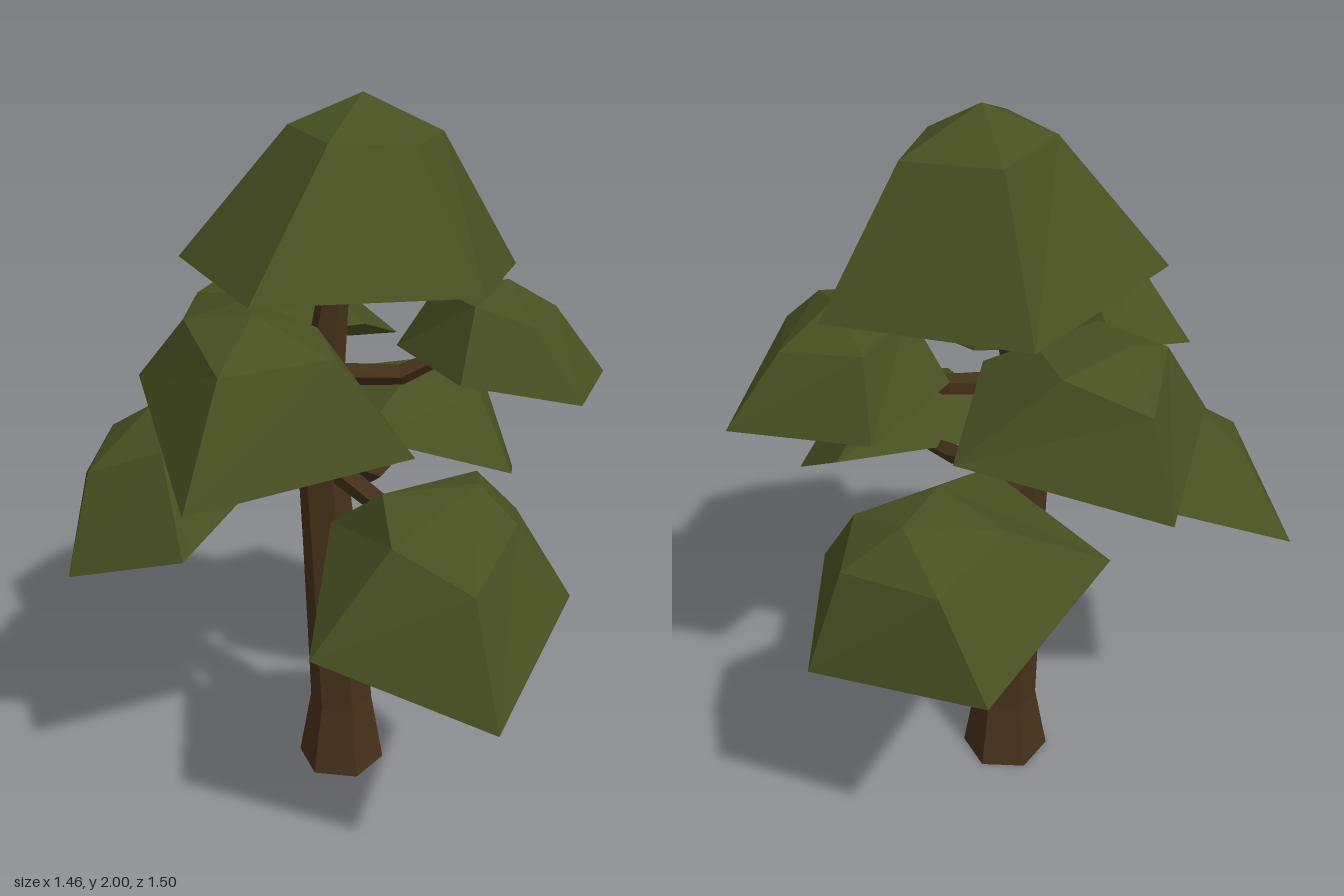
import * as THREE from 'three';

const leafMaterial = new THREE.MeshStandardMaterial({ color: 0x485021, flatShading: true });
const barkMaterial = new THREE.MeshStandardMaterial({ color: 0x45311a, flatShading: true });

// Flat-shaded mesh from a list of triangles (each three Vector3 corners)
function facetedMesh(name, triangles, material) {
  const geometry = new THREE.BufferGeometry().setFromPoints(triangles.flat());
  geometry.computeVertexNormals();
  const mesh = new THREE.Mesh(geometry, material);
  mesh.name = name;
  return mesh;
}

// Leaf clump: a thick cap with a five-cornered rim, smaller shoulder ring and apex,
// lined on the inside by the same rings drawn in towards the rim's centre.
// Rings run counter-clockwise seen from above.
function leafClump(name, rimPoints, shoulderPoints, apexPoint) {
  const toVectors = (list) => list.map((p) => new THREE.Vector3(...p));
  const rim = toVectors(rimPoints);
  const shoulder = toVectors(shoulderPoints);
  const apex = new THREE.Vector3(...apexPoint);
  const centre = new THREE.Vector3();
  rim.forEach((p) => centre.addScaledVector(p, 1 / rim.length));
  const inner = shoulder.map((p) => p.clone().lerp(centre, 0.28));
  const innerApex = apex.clone().lerp(centre, 0.28);

  const triangles = [];
  rim.forEach((p, i) => {
    const j = (i + 1) % rim.length;
    triangles.push([p, rim[j], shoulder[j]], [p, shoulder[j], shoulder[i]], [shoulder[i], shoulder[j], apex]);
    triangles.push([rim[j], p, inner[j]], [inner[j], p, inner[i]], [inner[j], inner[i], innerApex]);
  });
  return facetedMesh(name, triangles, leafMaterial);
}

// Tapering limb through stations [x, y, z, radius]; rings face along the path
function limb(name, stations, sides) {
  const centres = stations.map(([x, y, z]) => new THREE.Vector3(x, y, z));
  const up = new THREE.Vector3(0, 1, 0);
  const last = centres.length - 1;
  const rings = centres.map((c, i) => {
    const direction = centres[Math.min(i + 1, last)].clone().sub(centres[Math.max(i - 1, 0)]).normalize();
    const turn = new THREE.Quaternion();
    if (sides <= 5) turn.setFromUnitVectors(up, direction); // the trunk keeps level rings
    return Array.from({ length: sides }, (_, k) => {
      const a = (k / sides) * Math.PI * 2;
      const r = stations[i][3];
      return new THREE.Vector3(Math.cos(a) * r, 0, -Math.sin(a) * r).applyQuaternion(turn).add(c);
    });
  });

  const triangles = [];
  for (let k = 0; k < sides; k++) {
    const n = (k + 1) % sides;
    for (let i = 0; i < last; i++) {
      const [a, b] = [rings[i], rings[i + 1]];
      triangles.push([a[k], a[n], b[n]], [a[k], b[n], b[k]]);
    }
    triangles.push([rings[0][n], rings[0][k], centres[0]]);
    triangles.push([rings[last][k], rings[last][n], centres[last]]);
  }
  return facetedMesh(name, triangles, barkMaterial);
}

export function createModel() {
  const tree = new THREE.Group();
  tree.name = 'tree';

  // Trunk with a flared foot
  tree.add(limb('trunk', [
    [0, 0, -0.025, 0.128], [0.003, 0.21, -0.027, 0.092], [-0.025, 0.75, -0.046, 0.077],
    [-0.042, 1.13, -0.068, 0.065], [-0.03, 1.57, -0.012, 0.036], [-0.01, 1.85, 0.02, 0.02],
  ], 6));

  // Lower branches
  tree.add(limb('lowerLeftBranch', [
    [-0.02, 1.02, -0.06, 0.04], [0.19, 0.88, -0.06, 0.032], [0.38, 0.91, -0.08, 0.024], [0.47, 1, -0.1, 0.014]], 5));
  tree.add(limb('lowerFrontBranch', [
    [-0.03, 1.0, -0.05, 0.038], [-0.07, 0.94, 0.2, 0.03], [-0.12, 0.92, 0.34, 0.024], [-0.15, 1, 0.43, 0.014]], 5));
  tree.add(limb('lowerBackBranch', [
    [-0.03, 1.04, -0.06, 0.038], [-0.14, 0.94, -0.2, 0.03], [-0.28, 0.95, -0.36, 0.024], [-0.34, 1.06, -0.42, 0.014]], 5));

  // Upper branches
  tree.add(limb('upperRightBranch', [
    [-0.03, 1.28, -0.05, 0.034], [-0.13, 1.37, 0.01, 0.028], [-0.33, 1.42, 0.02, 0.016]], 5));
  tree.add(limb('upperFrontBranch', [
    [-0.03, 1.26, -0.05, 0.034], [0.09, 1.26, 0.11, 0.03], [0.23, 1.38, 0.3, 0.016]], 5));
  tree.add(limb('upperBackBranch', [
    [-0.03, 1.27, -0.05, 0.034], [0.01, 1.25, -0.18, 0.028], [0.03, 1.36, -0.34, 0.016]], 5));

  // Crown
  tree.add(leafClump('crownLeaves',
    [[-0.52, 1.61, 0.13], [-0.03, 1.57, 0.44], [0.4, 1.52, 0.26], [0.27, 1.53, -0.28], [-0.26, 1.58, -0.35]],
    [[-0.21, 1.92, 0.11], [-0.03, 1.9, 0.23], [0.2, 1.89, 0.15], [0.14, 1.9, -0.11], [-0.1, 1.92, -0.11]],
    [0.01, 2, 0.04]));

  // Upper tier
  tree.add(leafClump('upperRightLeaves',
    [[-0.73, 1.16, 0.1], [-0.23, 1.21, 0.39], [-0.12, 1.26, 0.16], [-0.18, 1.35, -0.25], [-0.42, 1.3, -0.355]],
    [[-0.565, 1.44, 0.07], [-0.32, 1.45, 0.22], [-0.22, 1.47, 0.08], [-0.25, 1.51, -0.12], [-0.44, 1.5, -0.16]],
    [-0.39, 1.535, 0.02]));
  tree.add(leafClump('upperFrontLeaves',
    [[0.54, 1.22, 0.475], [0.42, 1.235, 0.1], [0.15, 1.31, 0.05], [-0.03, 1.33, 0.38], [0.08, 1.315, 0.66]],
    [[0.42, 1.42, 0.38], [0.36, 1.44, 0.16], [0.17, 1.49, 0.16], [0.1, 1.49, 0.33], [0.14, 1.46, 0.48]],
    [0.27, 1.52, 0.32]));
  tree.add(leafClump('upperBackLeaves',
    [[0.2, 1.14, -0.63], [-0.26, 1.21, -0.485], [-0.18, 1.36, -0.2], [0.1, 1.37, -0.02], [0.39, 1.24, -0.125]],
    [[0.14, 1.375, -0.53], [-0.12, 1.43, -0.43], [-0.1, 1.46, -0.24], [0.1, 1.46, -0.17], [0.23, 1.46, -0.33]],
    [0.02, 1.48, -0.4]));

  // Lower tier
  tree.add(leafClump('lowerLeftLeaves',
    [[0.64, 0.78, -0.39], [0.2, 0.98, -0.465], [0.08, 1.04, -0.02], [0.45, 0.87, 0.255], [0.73, 0.74, 0.09]],
    [[0.62, 1.03, -0.24], [0.38, 1.1, -0.28], [0.35, 1.135, -0.05], [0.49, 1.07, 0.11], [0.65, 1.02, 0.03]],
    [0.54, 1.13, -0.08]));
  tree.add(leafClump('lowerFrontLeaves',
    [[-0.36, 0.635, 0.745], [0.06, 0.8, 0.68], [0.155, 0.94, 0.45], [-0.22, 0.945, 0.12], [-0.54, 0.76, 0.31]],
    [[-0.31, 0.95, 0.63], [-0.07, 1.03, 0.59], [0, 1.1, 0.42], [-0.24, 1.09, 0.3], [-0.36, 1.03, 0.42]],
    [-0.1, 1.125, 0.49]));
  tree.add(leafClump('lowerBackLeaves',
    [[-0.3, 0.855, -0.75], [-0.625, 0.75, -0.465], [-0.5, 0.85, -0.15], [-0.1, 1.035, -0.13], [0, 1.03, -0.5]],
    [[-0.32, 1.06, -0.59], [-0.53, 1.03, -0.46], [-0.44, 1.11, -0.27], [-0.2, 1.15, -0.26], [-0.18, 1.14, -0.48]],
    [-0.33, 1.175, -0.41]));

  return tree;
}
